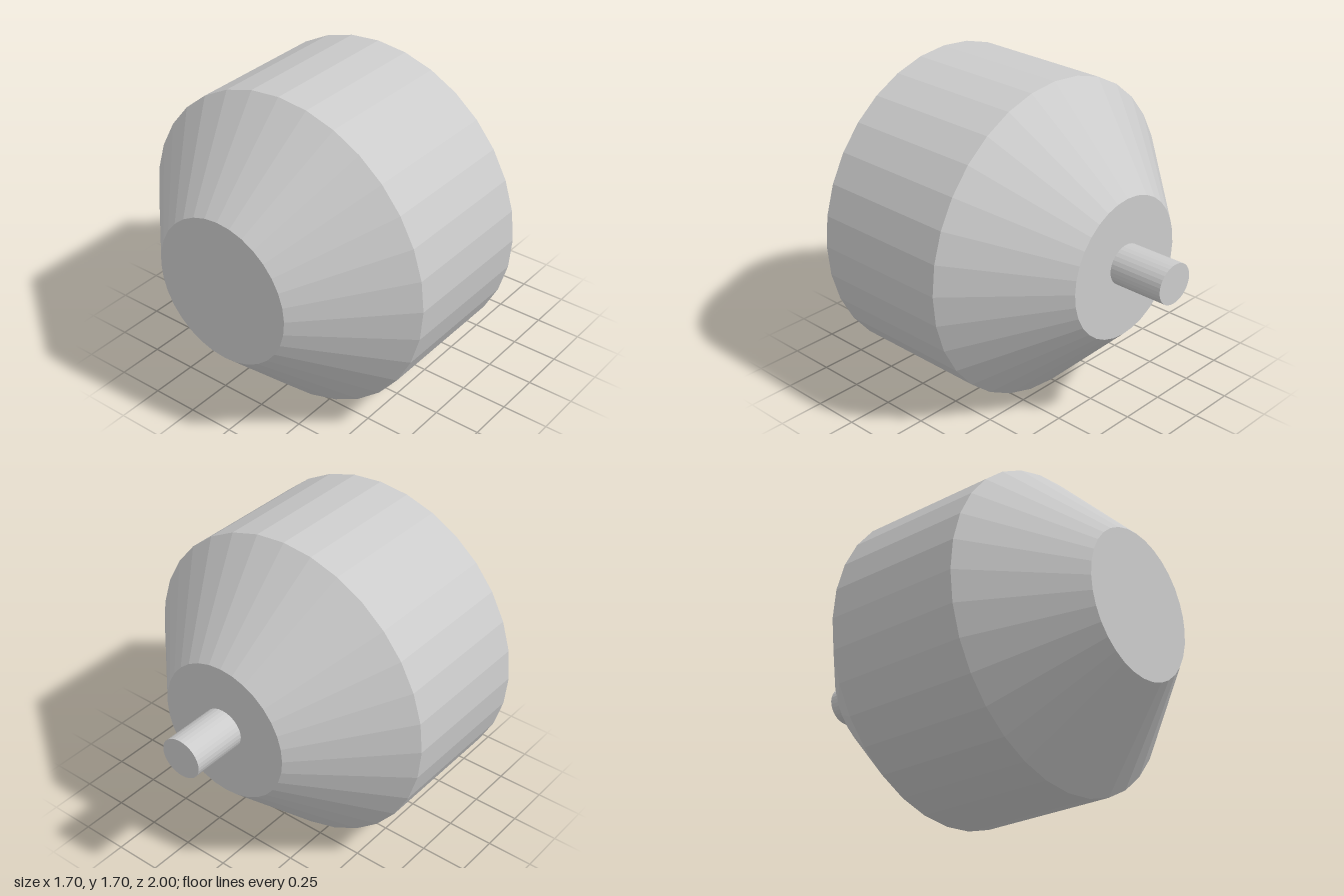
import * as THREE from 'three';

export function createModel() {
  const model = new THREE.Group();
  const material = new THREE.MeshStandardMaterial({ color: 0xcccccc, flatShading: true });
  const SIDES = 32;

  // Turned section along z, given its front and back ends
  function section(name, rFront, rBack, zFront, zBack, openEnded) {
    const geometry = new THREE.CylinderGeometry(rFront, rBack, zFront - zBack, SIDES, 1, openEnded);
    geometry.rotateX(Math.PI / 2);
    const mesh = new THREE.Mesh(geometry, material);
    mesh.name = name;
    mesh.position.z = (zFront + zBack) / 2;
    return mesh;
  }

  // Flat disc closing one end of the body
  function endCap(name, radius, z, facing) {
    const mesh = new THREE.Mesh(new THREE.CircleGeometry(radius, SIDES), material);
    mesh.name = name;
    mesh.position.z = z;
    if (facing < 0) mesh.rotation.y = Math.PI;
    return mesh;
  }

  // Drum with a cone at each end
  const body = new THREE.Group();
  body.name = 'body';
  body.position.y = 0.85;
  body.add(
    section('frontCone', 0.39, 0.85, 1, 0.545, true),
    section('drum', 0.85, 0.85, 0.545, -0.225, true),
    section('backCone', 0.85, 0.375, -0.225, -0.7, true),
    endCap('frontCap', 0.39, 1, 1),
    endCap('backCap', 0.375, -0.7, -1),
  );

  // Stub shaft at the back, slightly oval and just above centre
  const shaft = section('shaft', 1, 1, -0.7, -1, false);
  shaft.scale.set(0.115, 0.106, 1);
  shaft.position.y = 0.872;

  model.add(body, shaft);
  return model;
}
